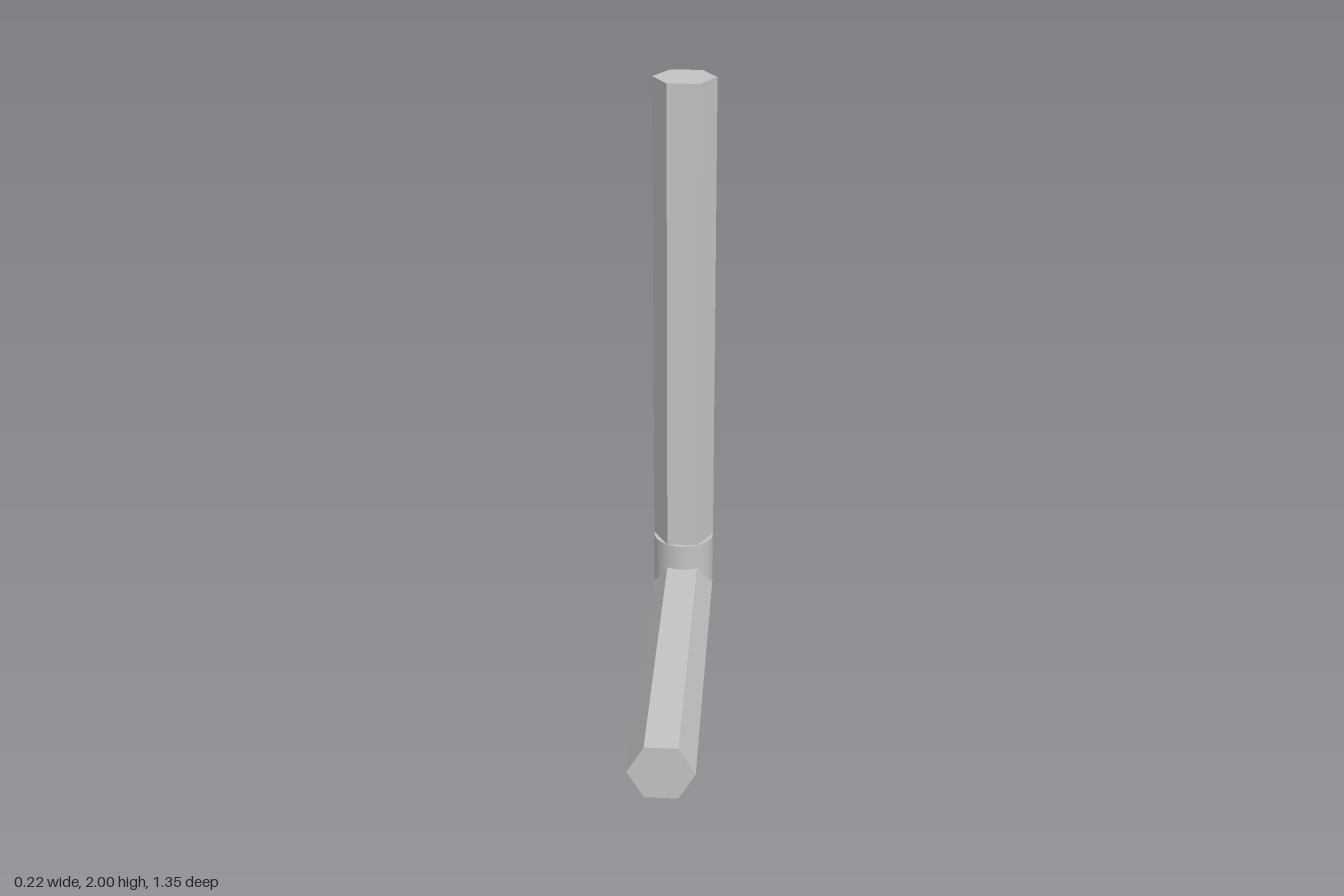
import * as THREE from 'three';

const R = 0.109;        // corner radius of the hexagonal bar
const AXIS_Y = 0.095;   // height of the short arm's axis
const AXIS_Z = -0.565;  // depth of the long arm's axis

export function createModel() {
  const group = new THREE.Group();
  const steel = new THREE.MeshStandardMaterial({ color: 0xc4c4c4 });
  steel.name = 'steel grey';
  const hexSteel = steel.clone();
  hexSteel.flatShading = true;

  const add = (name, geometry, material, x, y, z) => {
    const mesh = new THREE.Mesh(geometry, material);
    mesh.name = name;
    mesh.position.set(x, y, z);
    group.add(mesh);
  };

  // Hexagonal bar along y with corners on +-x
  const hexBar = (length) => new THREE.CylinderGeometry(R, R, length, 6, 1, false, Math.PI / 2);

  // Long upright arm, starting inside the collar
  const bottom = AXIS_Y + 0.002, longLength = 2 - bottom;
  add('longArm', hexBar(longLength), hexSteel, 0, bottom + longLength / 2, AXIS_Z);

  // Short arm lying forward along z
  const shortLength = 0.674 - AXIS_Z;
  add('shortArm', hexBar(shortLength).rotateX(Math.PI / 2), hexSteel, 0, AXIS_Y, AXIS_Z + shortLength / 2);

  // Round collar joining the arms
  add('elbowCollar', new THREE.CylinderGeometry(R, R, 0.19, 48), steel, 0, AXIS_Y + 0.095, AXIS_Z);

  return group;
}
